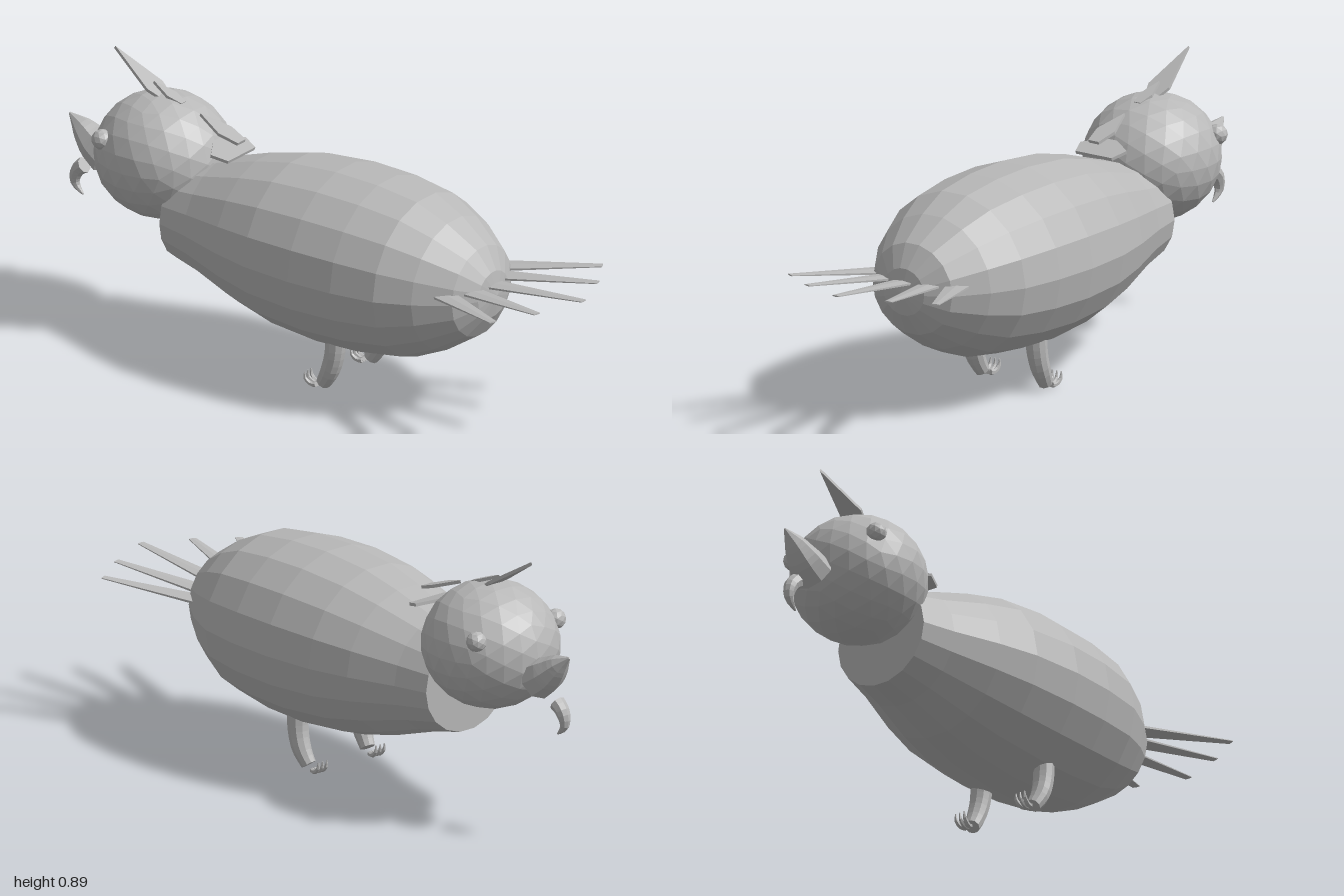
import * as THREE from 'three';

const V = (x, y, z) => new THREE.Vector3(x, y, z);

export function createModel() {
  const bird = new THREE.Group();
  bird.name = 'bird';
  const grey = new THREE.MeshStandardMaterial({ color: 0xb8b8b8 });
  grey.name = 'plain grey';
  grey.flatShading = true;

  const add = (name, geometry, parent = bird) => {
    const mesh = new THREE.Mesh(geometry, grey);
    mesh.name = name;
    parent.add(mesh);
    return mesh;
  };

  // Tapered, capped tube through a few points with a radius at each
  const limb = (points, radii, sides = 8, seg = 10) => {
    const curve = new THREE.CatmullRomCurve3(points);
    const geo = new THREE.TubeGeometry(curve, seg, 1, sides);
    const pos = geo.attributes.position;
    const p = V(0, 0, 0);
    for (let i = 0; i < pos.count; i++) {
      const j = Math.floor(i / (sides + 1));
      const end = j === 0 || j === seg;
      const k = Math.min(Math.max(j, 1), seg - 1);
      const t = (k - 1) / (seg - 2) * (radii.length - 1);
      const a = Math.min(Math.floor(t), radii.length - 2);
      const r = end ? 0 : THREE.MathUtils.lerp(radii[a], radii[a + 1], t - a);
      const own = curve.getPointAt(j / seg);
      p.fromBufferAttribute(pos, i).sub(own).multiplyScalar(r).add(curve.getPointAt(k / seg));
      pos.setXYZ(i, p.x, p.y, p.z);
    }
    return geo;
  };

  // Flat symmetric feather: outline holds [half width, fraction of length]
  const blade = (name, from, to, outline) => {
    const d = to.clone().sub(from);
    const len = d.length();
    const right = outline.map(([x, t]) => new THREE.Vector2(x, t * len));
    const left = outline.filter(([x]) => x > 0).map(([x, t]) => new THREE.Vector2(-x, t * len)).reverse();
    const geo = new THREE.ExtrudeGeometry(new THREE.Shape([...right, ...left]), { depth: 0.01, bevelEnabled: false });
    geo.translate(0, 0, -0.005);
    const mesh = add(name, geo);
    mesh.position.copy(from);
    mesh.rotation.x = Math.atan2(d.z, d.y);
  };

  // Body: faceted barrel with a flat neck opening and a rounded rump
  const profile = [[0, -0.515], [0.171, -0.515], [0.2, -0.4], [0.254, -0.24], [0.289, -0.1], [0.305, 0.08],
    [0.3, 0.24], [0.278, 0.39], [0.227, 0.5], [0.155, 0.605], [0.08, 0.65], [0, 0.665]];
  const bodyGeo = new THREE.LatheGeometry(profile.map(([r, z]) => new THREE.Vector2(r, z)), 18, Math.PI / 18);
  bodyGeo.rotateX(Math.PI / 2).scale(1, 0.948, 1);
  add('body', bodyGeo).position.y = 0.43;

  // Head
  const head = add('head', new THREE.IcosahedronGeometry(1, 3));
  head.scale.set(0.215, 0.203, 0.222);
  head.position.set(0, 0.583, -0.625);

  // Beak and the small hook hanging below it
  add('beak', limb([V(0, 0.51, -0.825), V(0, 0.55, -0.89), V(0, 0.595, -0.945), V(0, 0.638, -1.005)],
    [0.064, 0.056, 0.036, 0.003], 8, 12));
  add('lowerHook', limb([V(0, 0.475, -0.92), V(0, 0.445, -0.957), V(0, 0.4, -0.968), V(0, 0.355, -0.925)],
    [0.026, 0.022, 0.014, 0.003], 8, 10));

  // Crest on the crown and feathers on the nape
  blade('crestLarge', V(0, 0.768, -0.61), V(0, 0.892, -0.815), [[0.02, 0], [0.04, 0.25], [0, 1]]);
  blade('crestSmall', V(0, 0.768, -0.55), V(0, 0.812, -0.665), [[0.012, 0], [0.022, 0.4], [0, 1]]);
  blade('napeUpper', V(0, 0.694, -0.325), V(0, 0.748, -0.485), [[0.02, 0], [0.034, 0.4], [0, 1]]);
  blade('napeLower', V(0, 0.65, -0.325), V(0, 0.677, -0.42), [[0.07, 0], [0.09, 0.55], [0.02, 1]]);

  for (const s of [-1, 1]) {
    const side = s > 0 ? 'left' : 'right';

    // Eye
    const eye = add(side + 'Eye', new THREE.IcosahedronGeometry(0.033, 1));
    eye.position.set(s * 0.165, 0.655, -0.742);

    // Leg with three curled claws
    const leg = new THREE.Group();
    leg.name = side + 'Leg';
    bird.add(leg);
    add('shank', limb([V(s * 0.122, 0.22, 0.135), V(s * 0.126, 0.13, 0.128), V(s * 0.127, 0.075, 0.11),
      V(s * 0.12, 0.014, 0.072)], [0.035, 0.033, 0.031, 0.024], 10, 10), leg);
    for (const k of [-1, 0, 1]) {
      const x = s * 0.12;
      add('claw', limb([V(x + k * 0.008, 0.024, 0.07), V(x + k * 0.013, 0.02, 0.045),
        V(x + k * 0.017, 0.035, 0.025), V(x + k * 0.017, 0.068, 0.022)], [0.009, 0.008, 0.006, 0.002], 6, 8), leg);
    }
  }

  // Tail: fan of five flattened, tapering feathers
  const fan = [[-0.15, 0.57, -0.283, 0.86], [-0.075, 0.59, -0.158, 0.937], [0, 0.585, 0, 1],
    [0.075, 0.59, 0.158, 0.937], [0.15, 0.57, 0.283, 0.86]];
  for (const [x0, z0, x1, z1] of fan) {
    const a = V(x0, 0.455, z0);
    const b = V(x1, 0.495 - Math.abs(x1) * 0.04, z1);
    const geo = new THREE.CylinderGeometry(0.014, 0.042, a.distanceTo(b), 6);
    geo.rotateX(Math.PI / 2).scale(1, 0.17, 1);
    const feather = add('tailFeather', geo);
    feather.position.copy(a).lerp(b, 0.5);
    feather.lookAt(b);
  }
  return bird;
}
